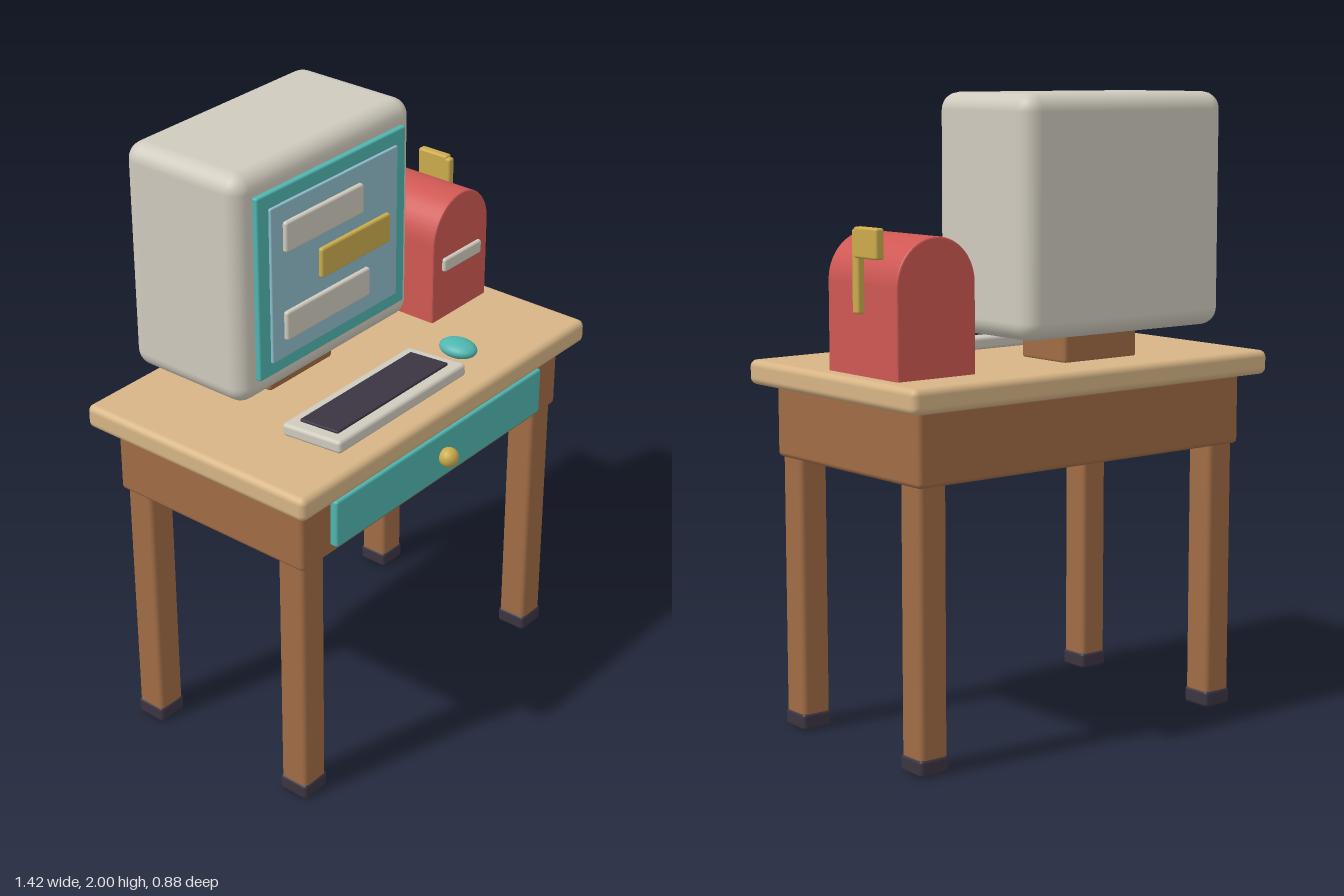
import * as THREE from 'three';
import { RoundedBoxGeometry } from 'three/addons/geometries/RoundedBoxGeometry.js';

export function createModel() {
  const model = new THREE.Group();
  model.name = 'computerDesk';

  const mat = (name, color) => {
    const m = new THREE.MeshStandardMaterial({ color });
    m.name = name;
    return m;
  };
  const paleWood = mat('paleWood', 0xd6b485);
  const brownWood = mat('brownWood', 0xa06c45);
  const teal = mat('teal', 0x4fb5b0);
  const cream = mat('cream', 0xcfcabd);
  const red = mat('red', 0xcf5853);
  const gold = mat('gold', 0xcbab4d);
  const dark = mat('darkPlum', 0x3b3441);
  const glass = mat('screenBlue', 0x8fbccb);

  const add = (name, geometry, material, parent = model) => {
    const mesh = new THREE.Mesh(geometry, material);
    mesh.name = name;
    parent.add(mesh);
    return mesh;
  };
  // Rounded box given by its limits on each axis
  const box = (name, material, [x0, x1], [y0, y1], [z0, z1], r = 0.008, parent = model) => {
    const mesh = add(name, new RoundedBoxGeometry(x1 - x0, y1 - y0, z1 - z0, 3, r), material, parent);
    mesh.position.set((x0 + x1) / 2, (y0 + y1) / 2, (z0 + z1) / 2);
    return mesh;
  };

  // Desk
  const desk = new THREE.Group();
  desk.name = 'desk';
  model.add(desk);
  box('tabletop', paleWood, [-0.71, 0.71], [1.097, 1.175], [-0.44, 0.425], 0.022, desk);
  box('apron', brownWood, [-0.645, 0.645], [0.87, 1.1], [-0.375, 0.365], 0.015, desk);
  for (const x of [-0.582, 0.582]) {
    for (const z of [-0.31, 0.305]) {
      box('leg', brownWood, [x - 0.05, x + 0.05], [0.04, 0.9], [z - 0.05, z + 0.05], 0.015, desk);
      box('foot', dark, [x - 0.053, x + 0.053], [0, 0.055], [z - 0.053, z + 0.053], 0.012, desk);
    }
  }
  box('drawerFront', teal, [-0.517, 0.517], [0.903, 1.063], [0.35, 0.39], 0.008, desk);
  add('drawerKnob', new THREE.SphereGeometry(0.032, 24, 16), gold, desk).position.set(0, 0.982, 0.41);

  // Monitor
  const monitor = new THREE.Group();
  monitor.name = 'monitor';
  model.add(monitor);
  box('monitorStand', brownWood, [-0.292, 0.005], [1.17, 1.29], [-0.27, -0.06], 0.012, monitor);
  box('monitorCase', cream, [-0.55, 0.255], [1.265, 2.0], [-0.393, 0.057], 0.055, monitor);
  box('screenFrame', teal, [-0.486, 0.193], [1.34, 1.93], [0.045, 0.074], 0.006, monitor);
  box('screen', glass, [-0.438, 0.145], [1.384, 1.884], [0.065, 0.083], 0.004, monitor);
  box('upperBar', cream, [-0.387, -0.032], [1.73, 1.827], [0.075, 0.097], 0.008, monitor);
  box('middleBar', gold, [-0.227, 0.098], [1.586, 1.683], [0.075, 0.097], 0.008, monitor);
  box('lowerBar', cream, [-0.387, 0], [1.443, 1.537], [0.075, 0.097], 0.008, monitor);

  // Keyboard, with its front edge tipped up a little
  const keyboard = new THREE.Group();
  keyboard.name = 'keyboard';
  keyboard.position.set(-0.163, 1.205, 0.25);
  keyboard.rotation.x = -0.08;
  model.add(keyboard);
  box('keyboardBody', cream, [-0.307, 0.307], [-0.021, 0.021], [-0.112, 0.112], 0.012, keyboard);
  box('keys', dark, [-0.267, 0.267], [0.012, 0.029], [-0.073, 0.073], 0.004, keyboard);

  // Mouse
  const mouse = add('mouse', new THREE.SphereGeometry(1, 28, 18), teal);
  mouse.scale.set(0.049, 0.028, 0.066);
  mouse.position.set(0.256, 1.202, 0.247);

  // Mailbox: arched body pushed along z
  const mailbox = new THREE.Group();
  mailbox.name = 'mailbox';
  model.add(mailbox);
  const arch = new THREE.Shape();
  arch.moveTo(-0.138, 1.172);
  arch.lineTo(0.138, 1.172);
  arch.lineTo(0.138, 1.447);
  arch.absarc(0, 1.447, 0.138, 0, Math.PI, false);
  arch.lineTo(-0.138, 1.172);
  const body = add('mailboxBody', new THREE.ExtrudeGeometry(arch, {
    depth: 0.338, curveSegments: 24, bevelThickness: 0.005, bevelSize: 0.005, bevelSegments: 2,
  }), red, mailbox);
  body.position.set(0.515, 0, -0.287);
  box('doorHandle', cream, [0.418, 0.614], [1.344, 1.39], [0.045, 0.069], 0.008, mailbox);
  box('flagPole', gold, [0.655, 0.682], [1.36, 1.61], [-0.132, -0.1], 0.008, mailbox);
  box('flag', gold, [0.655, 0.686], [1.525, 1.617], [-0.23, -0.115], 0.008, mailbox);

  return model;
}
